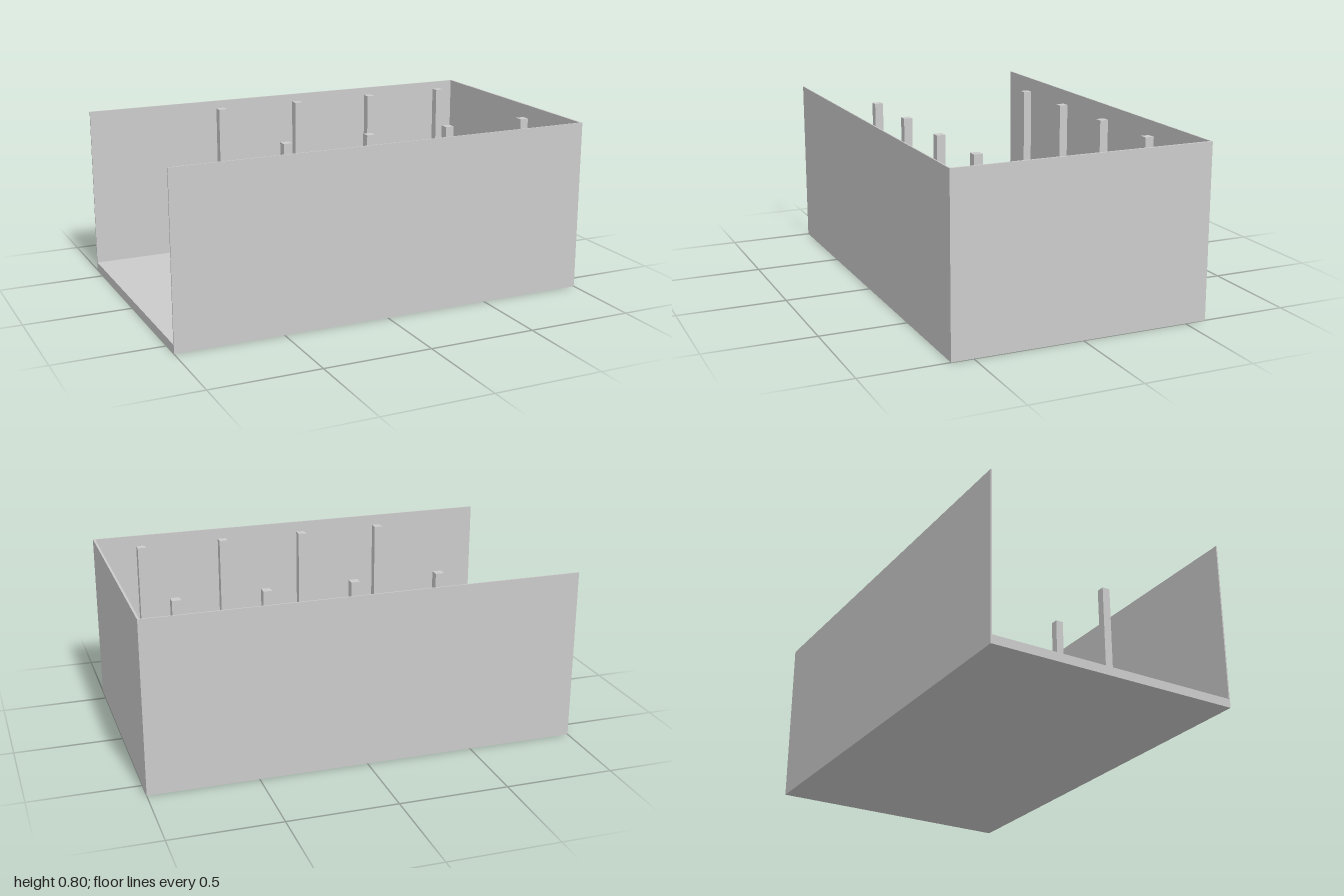
import * as THREE from 'three';

export function createModel() {
  const model = new THREE.Group();
  const material = new THREE.MeshStandardMaterial({ color: 0xcccccc, flatShading: true });

  // Box given by its size and the centre of its base
  const box = (name, w, h, d, x, y, z) => {
    const mesh = new THREE.Mesh(new THREE.BoxGeometry(w, h, d), material);
    mesh.name = name;
    mesh.position.set(x, y + h / 2, z);
    model.add(mesh);
  };

  const length = 2, width = 1.2, height = 0.8;
  const floorHeight = 0.04, wall = 0.006, panel = 0.01;

  // Floor slab, open at the -x end
  box('floor', length - panel, floorHeight, width - 2 * wall, -panel / 2, 0, 0);

  // Thin long walls
  for (const [name, side] of [['frontWall', 1], ['backWall', -1]]) {
    box(name, length - panel, height, wall, -panel / 2, 0, side * (width - wall) / 2);
  }

  // End wall made of five upright panels
  const panels = 5, pitch = width / panels;
  for (let i = 0; i < panels; i++) {
    box(`endPanel${i + 1}`, panel, height, pitch, (length - panel) / 2, 0, (i - (panels - 1) / 2) * pitch);
  }

  // Two rows of square posts standing on the floor
  for (const z of [-0.4, 0.4]) {
    for (let i = 0; i < 4; i++) {
      box('post', 0.04, height - floorHeight, 0.04, -0.4 + i * 0.4, floorHeight, z);
    }
  }

  return model;
}
